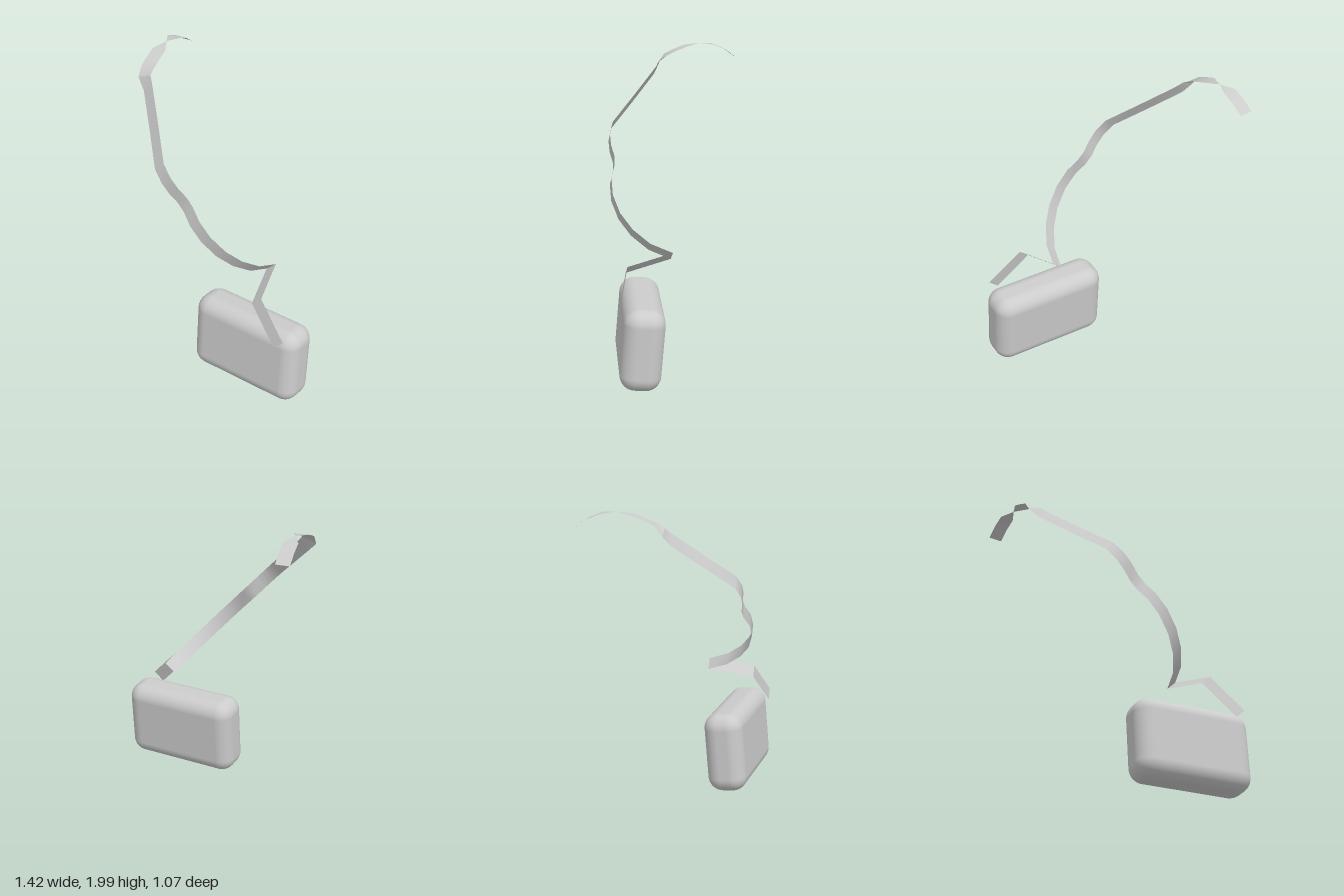
import * as THREE from 'three';
import { RoundedBoxGeometry } from 'three/addons/geometries/RoundedBoxGeometry.js';

const bagMaterial = new THREE.MeshStandardMaterial({ color: 0xcccccc });
const strapMaterial = new THREE.MeshStandardMaterial({ color: 0xcccccc, side: THREE.DoubleSide });

// Thin ribbon through cross-sections, each given as [right edge, left edge]
function ribbon(name, sections) {
  const positions = [];
  const index = [];
  sections.forEach(([a, b], i) => {
    positions.push(...a, ...b);
    if (i > 0) {
      const k = 2 * i;
      index.push(k - 2, k - 1, k + 1, k - 2, k + 1, k);
    }
  });
  const geometry = new THREE.BufferGeometry();
  geometry.setAttribute('position', new THREE.Float32BufferAttribute(positions, 3));
  geometry.setIndex(index);
  geometry.computeVertexNormals();
  const mesh = new THREE.Mesh(geometry, strapMaterial);
  mesh.name = name;
  return mesh;
}

// Cross-section of the diagonal strap at height y and depth z
function diagonal([y, z]) {
  const x = 0.588 - (y - 0.52) * 0.92;
  return [[x - 0.033, y - 0.03, z], [x + 0.033, y + 0.03, z]];
}

// Cross-section of the level shoulder part
function shoulder([z, y, halfWidth]) {
  return [[-0.665 - halfWidth, y, z], [-0.665 + halfWidth, y, z]];
}

export function createModel() {
  const group = new THREE.Group();

  // Rounded bag, turned slightly and leaning back
  const bag = new THREE.Mesh(new RoundedBoxGeometry(0.807, 0.54, 0.265, 5, 0.1), bagMaterial);
  bag.name = 'bag';
  bag.rotation.order = 'YXZ';
  bag.rotation.set(-0.087, -0.139, 0);
  bag.position.set(0.305, 0.28, 0.343);
  group.add(bag);

  // Strap: separate strips keep the two folds crisp
  const strap = new THREE.Group();
  strap.name = 'strap';
  const end = [0.52, 0.53], outerFold = [0.74, 0.44], innerFold = [0.795, 0.135];
  strap.add(ribbon('strapEnd', [end, outerFold].map(diagonal)));
  strap.add(ribbon('strapFold', [outerFold, innerFold].map(diagonal)));

  // Long diagonal run across the chest
  const run = [
    innerFold, [0.85, 0.27], [0.93, 0.37], [1.02, 0.435], [1.12, 0.465], [1.21, 0.458],
    [1.28, 0.425], [1.33, 0.417], [1.39, 0.428], [1.45, 0.425], [1.52, 0.395],
    [1.67, 0.22], [1.83, 0.038],
  ].map(diagonal);
  const bend = [[-0.711, 1.865, 0], [-0.619, 1.9, 0]];
  strap.add(ribbon('strapRun', [...run, bend]));

  // Arch over the shoulder, pinched at the top
  const arch = [
    [-0.05, 1.93, 0.046], [-0.12, 1.96, 0.046], [-0.19, 1.985, 0.046], [-0.288, 2.0, 0.0005],
    [-0.38, 1.99, 0.046], [-0.46, 1.955, 0.046], [-0.535, 1.9, 0.046],
  ].map(shoulder);
  strap.add(ribbon('strapShoulder', [bend, ...arch]));
  group.add(strap);

  return group;
}
